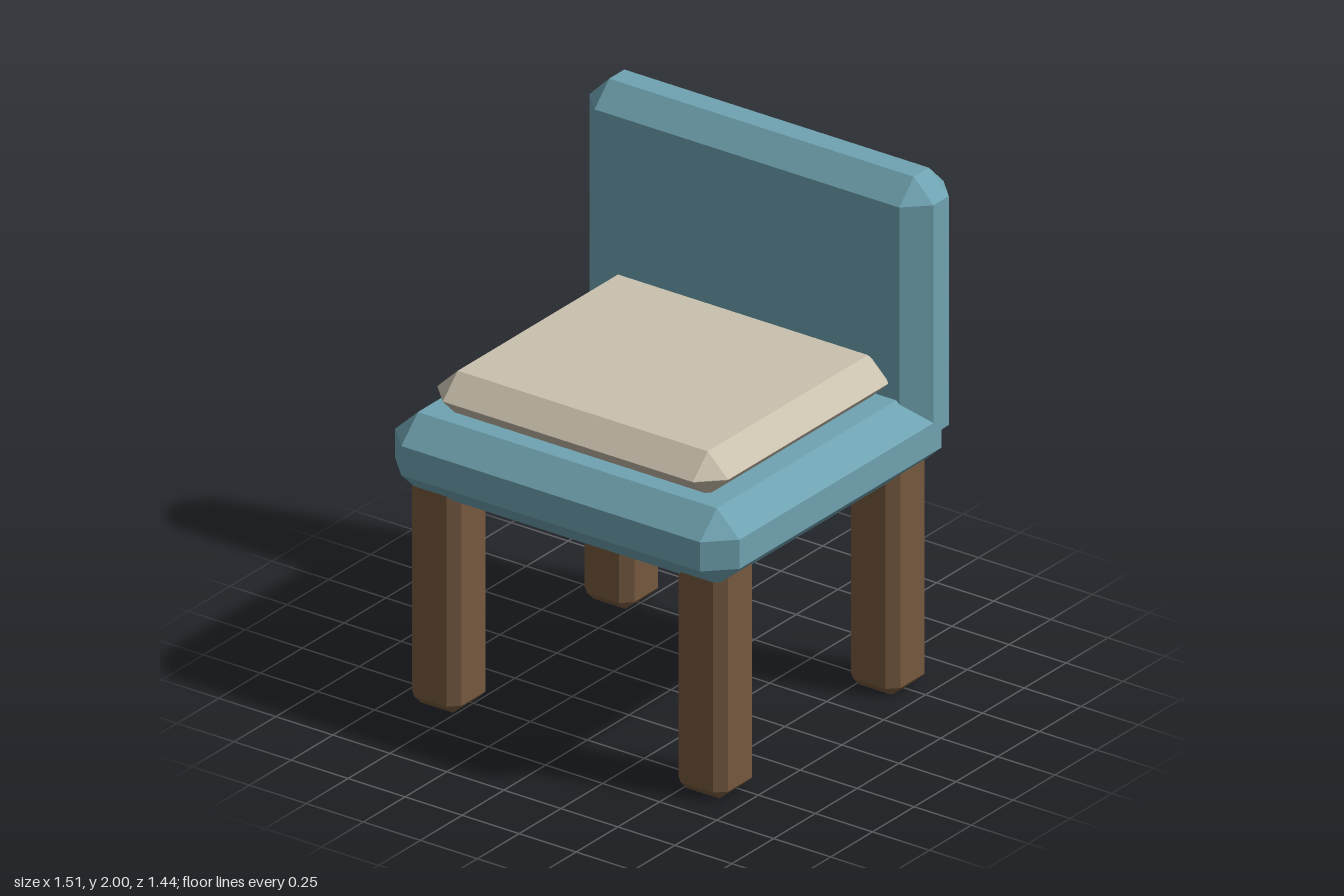
import * as THREE from 'three';
import { ConvexGeometry } from 'three/addons/geometries/ConvexGeometry.js';

const material = (color) => new THREE.MeshStandardMaterial({ color, flatShading: true });

// Box between two corners, every edge cut by a flat chamfer [cx, cy, cz]
function chamferedBox(name, min, max, [cx, cy, cz], mat) {
  const size = new THREE.Vector3(...max).sub(new THREE.Vector3(...min));
  const { x: hx, y: hy, z: hz } = size.multiplyScalar(0.5);
  const points = [];
  for (const sx of [-1, 1]) for (const sy of [-1, 1]) for (const sz of [-1, 1]) {
    points.push(
      new THREE.Vector3(sx * hx, sy * (hy - cy), sz * (hz - cz)),
      new THREE.Vector3(sx * (hx - cx), sy * hy, sz * (hz - cz)),
      new THREE.Vector3(sx * (hx - cx), sy * (hy - cy), sz * hz),
    );
  }
  const mesh = new THREE.Mesh(new ConvexGeometry(points), mat);
  mesh.name = name;
  mesh.position.set((min[0] + max[0]) / 2, (min[1] + max[1]) / 2, (min[2] + max[2]) / 2);
  return mesh;
}

export function createModel() {
  const chair = new THREE.Group();
  chair.name = 'chair';
  const teal = material(0x6fa3b1);
  const cream = material(0xcac1ae);
  const wood = material(0x75593f);

  // Upholstered base, backrest and loose cushion
  chair.add(
    chamferedBox('seat', [-0.755, 0.845, -0.69], [0.755, 1.15, 0.72], [0.1, 0.095, 0.1], teal),
    chamferedBox('backrest', [-0.755, 0.925, -0.72], [0.755, 2, -0.455], [0.087, 0.087, 0.087], teal),
    chamferedBox('cushion', [-0.637, 1.133, -0.52], [0.637, 1.307, 0.617], [0.089, 0.086, 0.089], cream),
  );

  // Four legs, sunk into the seat
  const w = 0.109;
  for (const [zName, z] of [['front', 0.533], ['back', -0.5]]) {
    for (const [xName, x] of [['Left', 0.584], ['Right', -0.584]]) {
      chair.add(chamferedBox(`${zName}${xName}Leg`, [x - w, 0, z - w], [x + w, 0.96, z + w], [0.038, 0.038, 0.038], wood));
    }
  }
  return chair;
}
